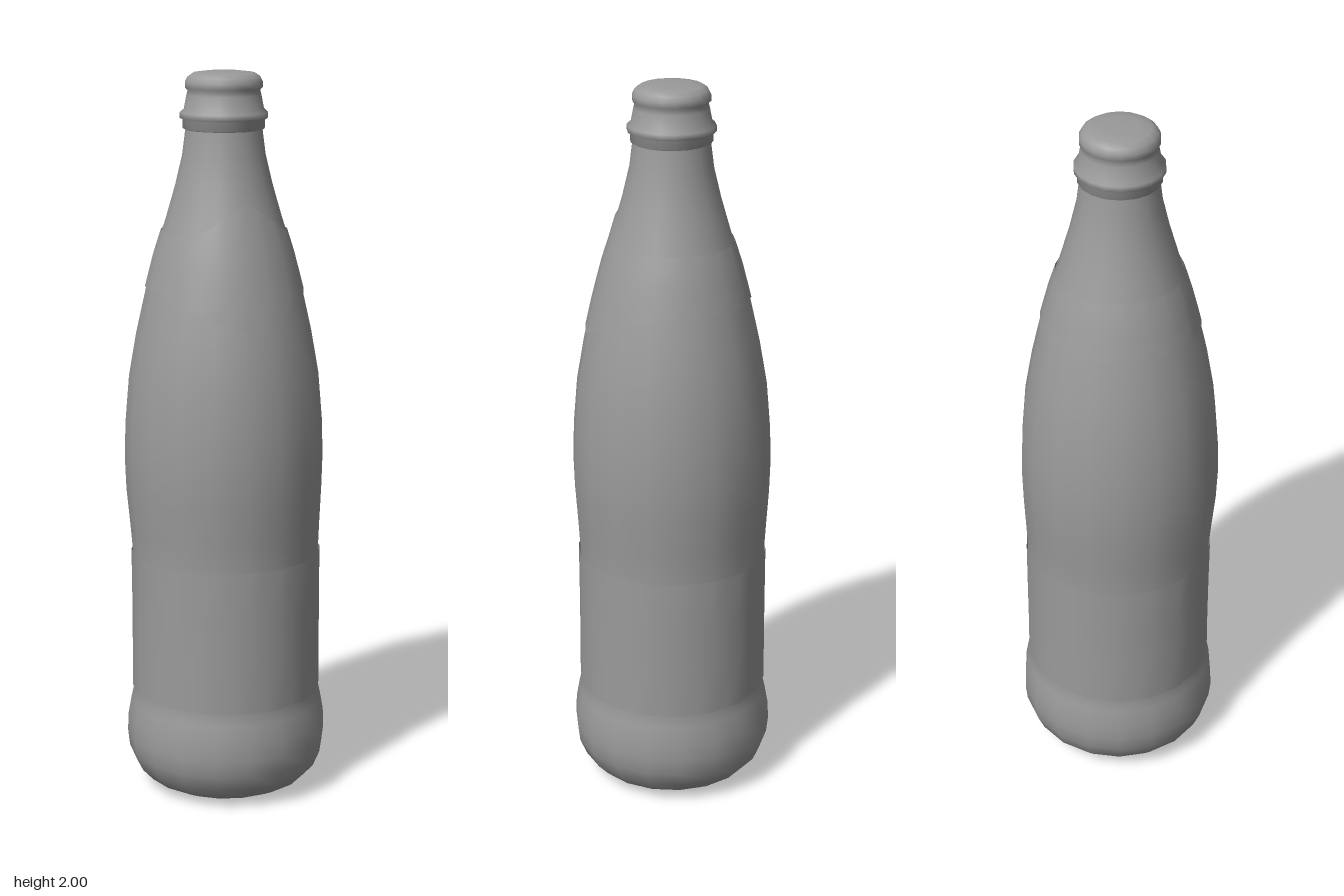
import * as THREE from 'three';
import { mergeVertices } from 'three/addons/utils/BufferGeometryUtils.js';

const SIDES = 18;
const COLOR = 0x9a9a9a;
const material = new THREE.MeshStandardMaterial({ color: COLOR });
const labelMaterial = new THREE.MeshStandardMaterial({ color: COLOR, side: THREE.DoubleSide });

// Outline of the glass as [radius, height], base to neck
const glass = [
  [0, 0.006], [0.1, 0.003], [0.165, 0], [0.185, 0.008], [0.225, 0.028], [0.255, 0.06], [0.274, 0.105],
  [0.279, 0.15], [0.277, 0.2], [0.268, 0.25], [0.259, 0.29], [0.259, 0.48], [0.259, 0.68],
  [0.264, 0.76], [0.271, 0.86], [0.274, 0.95], [0.271, 1.05], [0.26, 1.18], [0.239, 1.3],
  [0.212, 1.42], [0.186, 1.52], [0.157, 1.61], [0.131, 1.7], [0.112, 1.78], [0.103, 1.85],
];

// Collar, throat and rounded cap
const finish = [
  [0.1, 1.845], [0.11, 1.85], [0.11, 1.873], [0.118, 1.877], [0.118, 1.892], [0.107, 1.902],
  [0.1, 1.938], [0.097, 1.95], [0.104, 1.957], [0.104, 1.972], [0.097, 1.986], [0.082, 1.996], [0.05, 2], [0, 2],
];

// The upper body sits slightly off the axis of the base
const drift = (y) => -0.006 * THREE.MathUtils.smoothstep(y, 0.62, 0.92);

function radiusAt(y) {
  const i = glass.findIndex(([, h], k) => k > 2 && h >= y);
  const [r0, y0] = glass[i - 1], [r1, y1] = glass[i];
  return r0 + ((r1 - r0) * (y - y0)) / (y1 - y0);
}

function turned(name, profile) {
  const points = profile.map(([r, y]) => new THREE.Vector2(r, y));
  const geometry = new THREE.LatheGeometry(points, SIDES, Math.PI / 2);
  const p = geometry.attributes.position;
  for (let i = 0; i < p.count; i++) p.setX(i, p.getX(i) + drift(p.getY(i)));
  const mesh = new THREE.Mesh(geometry, material);
  mesh.name = name;
  return mesh;
}

// Paper wrapped on the faceted glass; edges are heights by angle from the front
function wrappedLabel(name, lower, upper, rows) {
  const step = (2 * Math.PI) / SIDES;
  const geometry = new THREE.PlaneGeometry(1, 1, SIDES * 2, rows);
  const p = geometry.attributes.position;
  for (let i = 0; i < p.count; i++) {
    const a = p.getX(i) * 2 * Math.PI;
    const v = p.getY(i) + 0.5;
    const y = THREE.MathUtils.lerp(lower(Math.abs(a)), upper(Math.abs(a)), v);
    // Columns alternate between the corners and the middles of the facets
    const column = Math.round((a - Math.PI / 2) / (step / 2));
    const r = (radiusAt(y) + 0.004) * (column % 2 ? Math.cos(step / 2) : 1);
    p.setXYZ(i, r * Math.sin(a) + drift(y), y, r * Math.cos(a));
  }
  geometry.deleteAttribute('uv');
  geometry.deleteAttribute('normal');
  const joined = mergeVertices(geometry, 1e-5);
  joined.computeVertexNormals();
  const mesh = new THREE.Mesh(joined, labelMaterial);
  mesh.name = name;
  return mesh;
}

export function createModel() {
  const bottle = new THREE.Group();
  bottle.name = 'bottle';
  const rad = Math.PI / 180;
  // Strength of the pointed part of the neck label, fading away from the front
  const point = (a, width) => Math.max(0, 1 - a / (width * rad));
  bottle.add(
    turned('glassBody', glass),
    turned('collarAndCap', finish),
    wrappedLabel('bodyLabel', () => 0.285, () => 0.685, 3),
    wrappedLabel('neckLabel', (a) => 1.425 - 0.1 * point(a, 75), (a) => 1.58 + 0.085 * point(a, 50), 5),
  );
  return bottle;
}
